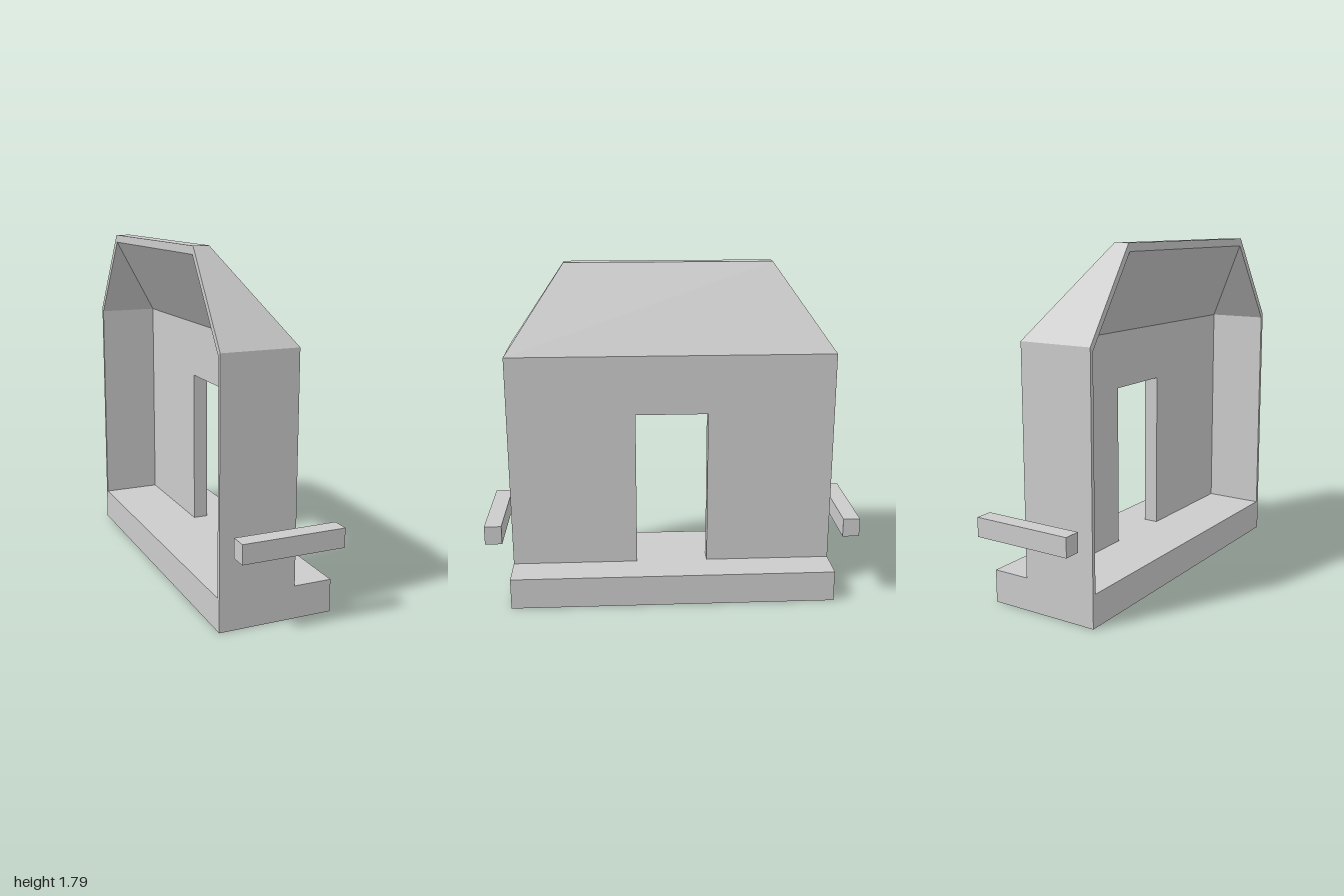
import * as THREE from 'three';

export function createModel() {
  const group = new THREE.Group();
  const grey = new THREE.MeshStandardMaterial({ color: 0xcccccc });
  grey.name = 'plain grey';

  const add = (name, geometry) => {
    const mesh = new THREE.Mesh(geometry, grey);
    mesh.name = name;
    group.add(mesh);
    return mesh;
  };
  // Box given by its lower and upper limits on each axis
  const box = (name, x0, x1, y0, y1, z0, z1) =>
    add(name, new THREE.BoxGeometry(x1 - x0, y1 - y0, z1 - z0))
      .position.set((x0 + x1) / 2, (y0 + y1) / 2, (z0 + z1) / 2);

  const back = -0.3, front = 0.1, inner = 0.02;
  const floor = 0.17, eave = 1.34, ridge = 1.79;
  const halfW = 0.88, innerW = 0.86, ridgeW = 0.57;

  // Floor slab with a doorstep in front of the wall
  box('base', back, 0.3, 0, floor, -halfW, halfW);

  // Long wall with a doorway reaching down to the floor
  const wall = new THREE.Shape([
    [-halfW, floor], [-0.195, floor], [-0.195, 1.02], [0.195, 1.02],
    [0.195, floor], [halfW, floor], [halfW, eave], [-halfW, eave],
  ].map(([x, y]) => new THREE.Vector2(x, y)));
  const wallGeometry = new THREE.ExtrudeGeometry(wall, { depth: front - inner, bevelEnabled: false });
  wallGeometry.rotateY(Math.PI / 2).translate(inner, 0, 0);
  add('doorWall', wallGeometry);

  // Thin end walls and the loose rails beside them
  for (const s of [1, -1]) {
    const side = s > 0 ? 'Front' : 'Back';
    const span = (a, b) => (s > 0 ? [a, b] : [-b, -a]);
    box('endWall' + side, back, inner, floor, eave, ...span(innerW, halfW));
    box('rail' + side, -0.24, 0.3, 0.38, 0.48, ...span(0.91, 1));
  }

  // Hollow half-hipped roof, open at the back
  const positions = [];
  const face = (points, flip = false) => {
    const p = flip ? [...points].reverse() : points;
    for (let i = 1; i < p.length - 1; i++) positions.push(...p[0], ...p[i], ...p[i + 1]);
  };
  const corners = (s) => ({
    eaveBack: [back, eave, s * halfW],
    eaveFront: [front, eave, s * halfW],
    ridgeBack: [back, ridge, s * ridgeW],
    ridgeFront: [-0.22, ridge, s * ridgeW],
    inBack: [back, 1.32, s * innerW],
    inFront: [inner, 1.32, s * innerW],
    inTop: [back, 1.75, s * 0.56],
  });
  const a = corners(1), b = corners(-1);
  face([a.eaveFront, b.eaveFront, b.ridgeFront, a.ridgeFront]); // outer slope
  face([a.ridgeBack, a.ridgeFront, b.ridgeFront, b.ridgeBack]); // ridge
  face([b.inTop, a.inTop, a.ridgeBack, b.ridgeBack]); // rim at the ridge
  face([b.inFront, a.inFront, a.inTop, b.inTop]); // inner slope
  for (const [c, flip] of [[a, false], [b, true]]) {
    face([c.eaveBack, c.eaveFront, c.ridgeFront, c.ridgeBack], flip); // outer hip
    face([c.inBack, c.eaveBack, c.ridgeBack, c.inTop], flip); // rim at the hip
    face([c.inFront, c.inBack, c.inTop], flip); // inner hip
  }
  const roof = new THREE.BufferGeometry();
  roof.setAttribute('position', new THREE.Float32BufferAttribute(positions, 3));
  roof.computeVertexNormals();
  add('roof', roof);

  return group;
}
